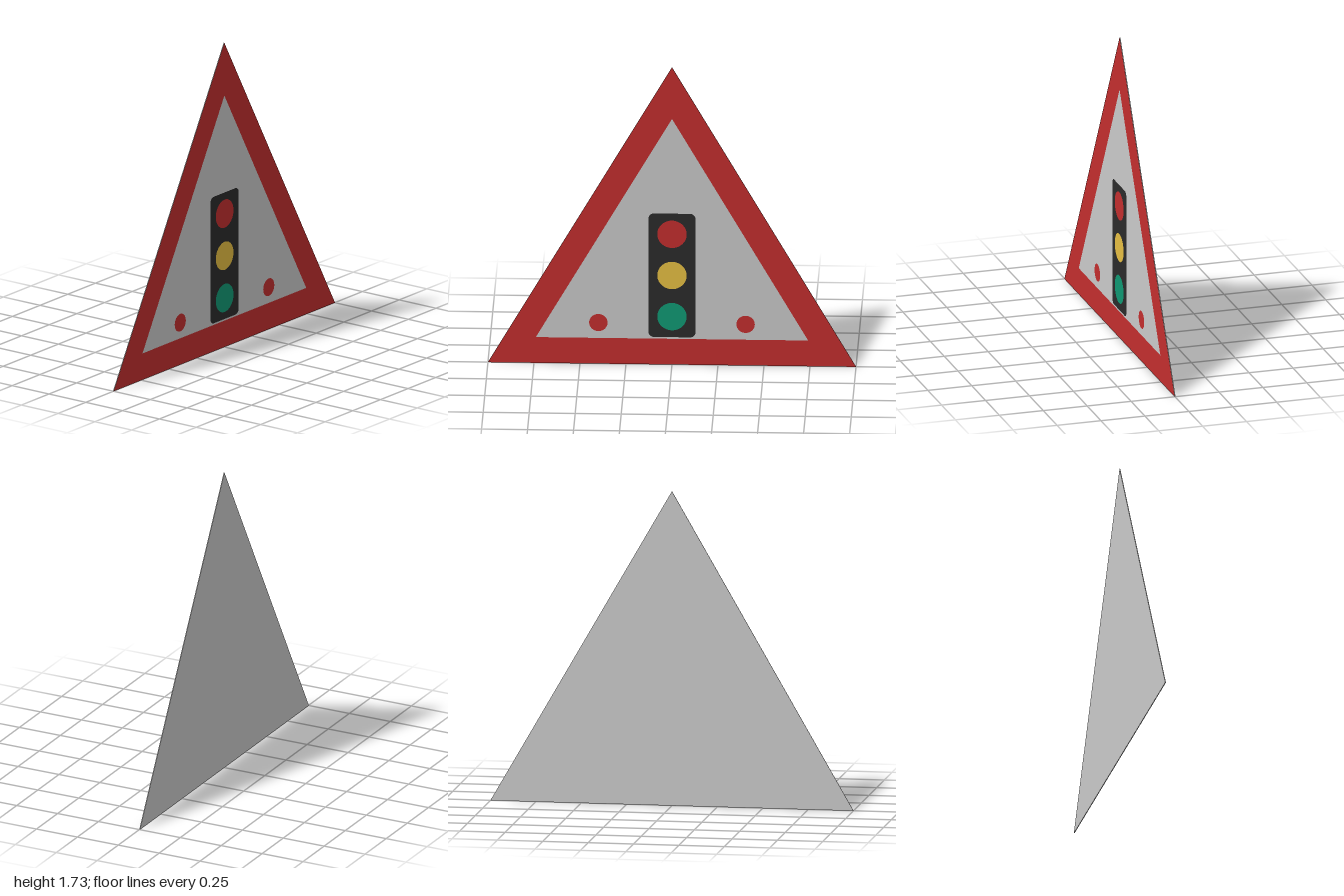
import * as THREE from 'three';

const RED = 0xc42e2e, GREY = 0xcccccc, BLACK = 0x2b2b2b, AMBER = 0xe8c043, GREEN = 0x109a74;

// Upright equilateral triangle standing on y = base
function triangle(half, base) {
  return new THREE.Shape([
    new THREE.Vector2(-half, base),
    new THREE.Vector2(half, base),
    new THREE.Vector2(0, base + half * Math.sqrt(3)),
  ]);
}

function roundedRect(x, y, w, h, r) {
  const s = new THREE.Shape();
  s.absarc(x + w - r, y + r, r, -Math.PI / 2, 0);
  s.absarc(x + w - r, y + h - r, r, 0, Math.PI / 2);
  s.absarc(x + r, y + h - r, r, Math.PI / 2, Math.PI);
  s.absarc(x + r, y + r, r, Math.PI, Math.PI * 1.5);
  s.closePath();
  return s;
}

function disc(x, y, r) {
  return new THREE.Shape().absarc(x, y, r, 0, Math.PI * 2);
}

export function createModel() {
  const group = new THREE.Group();

  function add(name, geometry, color, z) {
    const mesh = new THREE.Mesh(geometry, new THREE.MeshStandardMaterial({ color }));
    mesh.name = name;
    mesh.position.z = z;
    group.add(mesh);
  }
  const layer = (name, shape, color, z) => add(name, new THREE.ShapeGeometry(shape, 24), color, z);

  // Thin metal plate, bare at the back
  add('plate', new THREE.ExtrudeGeometry(triangle(1, 0), { depth: 0.004, bevelEnabled: false }), GREY, -0.003);

  // Red border ring around the bare panel
  const border = triangle(1, 0);
  border.holes.push(triangle(0.74, 0.15));
  layer('border', border, RED, 0.002);

  // Signal housing with its three lamps
  layer('signalHousing', roundedRect(-0.128, 0.16, 0.256, 0.72, 0.03), BLACK, 0.003);
  layer('redLamp', disc(0, 0.76, 0.08), RED, 0.004);
  layer('amberLamp', disc(0, 0.52, 0.08), AMBER, 0.004);
  layer('greenLamp', disc(0, 0.28, 0.08), GREEN, 0.004);

  // Small red dots either side
  for (const side of [-1, 1]) {
    layer(side > 0 ? 'leftDot' : 'rightDot', disc(side * 0.4, 0.24, 0.05), RED, 0.003);
  }
  return group;
}
